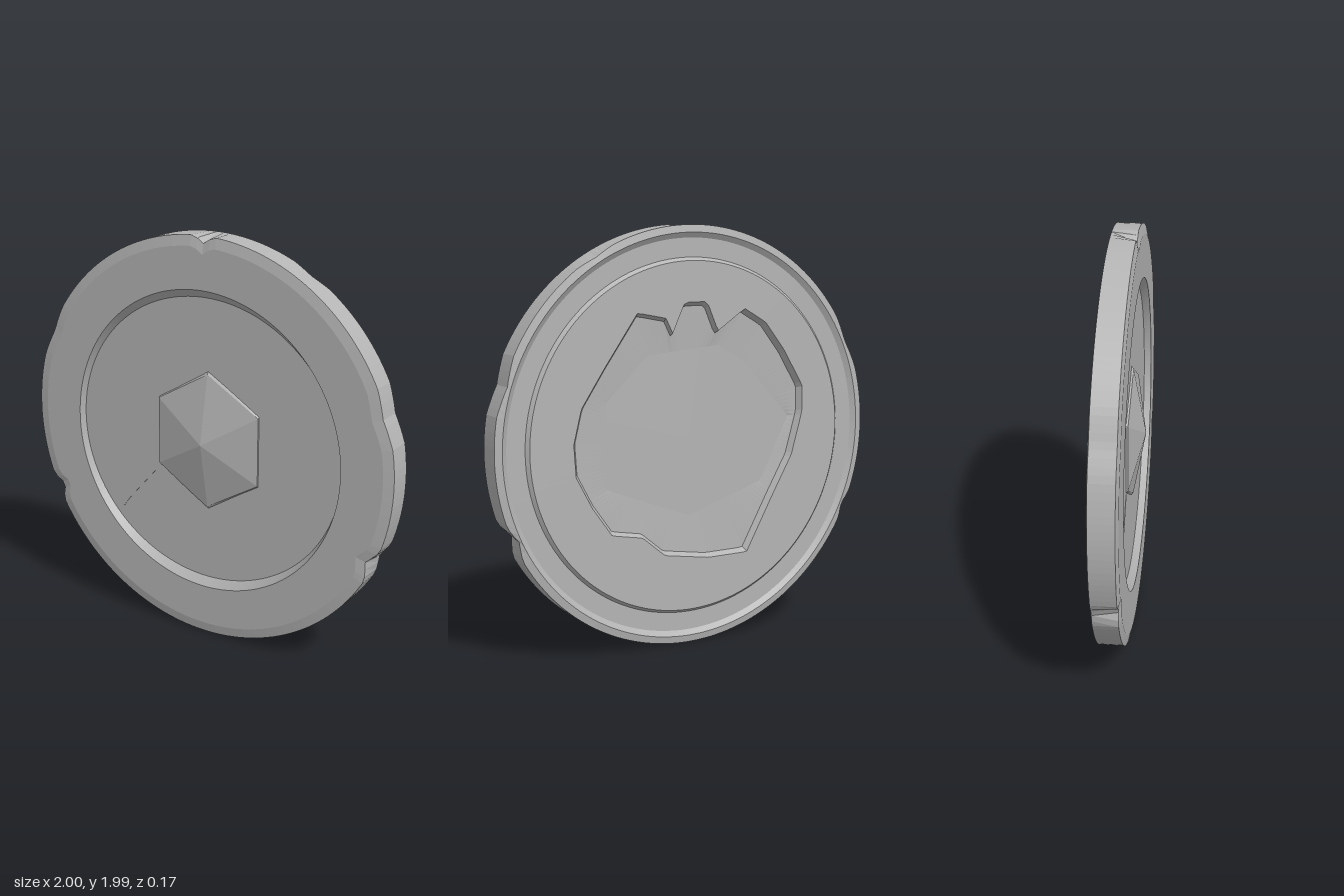
import * as THREE from 'three';

const CY = 0.995;   // height of the disc centre
const N = 180;      // samples around the disc
const RAD = Math.PI / 180;

// Closed outlines on the back, as x,y around the disc centre, by rising angle
const RAGGED = [
  [0.62, 0.02], [0.58, 0.18], [0.46, 0.36], [0.29, 0.6], [0.14, 0.57], [0.12, 0.47], [0.04, 0.64], [-0.08, 0.64],
  [-0.14, 0.5], [-0.29, 0.6], [-0.41, 0.53], [-0.52, 0.39], [-0.63, 0.21], [-0.63, 0.08], [-0.57, -0.13],
  [-0.46, -0.32], [-0.31, -0.59], [-0.09, -0.59], [0.15, -0.55], [0.27, -0.45], [0.43, -0.42], [0.53, -0.28], [0.61, -0.13],
];
const FLOOR = [
  [0.44, 0.19], [0.22, 0.4], [-0.16, 0.43], [-0.3, 0.35], [-0.57, 0.06], [-0.41, -0.25], [0, -0.38], [0.44, -0.21],
];

// Distance from the centre to an outline in direction a
function outlineRadius(points, a) {
  const dx = Math.cos(a), dy = Math.sin(a);
  for (let i = 0; i < points.length; i++) {
    const [px, py] = points[i], [qx, qy] = points[(i + 1) % points.length];
    const ex = qx - px, ey = qy - py;
    const den = dx * ey - dy * ex;
    if (Math.abs(den) < 1e-9) continue;
    const t = (px * ey - py * ex) / den;
    const s = (px * dy - py * dx) / den;
    if (t > 0 && s >= -1e-6 && s <= 1 + 1e-6) return t;
  }
  return 0.5;
}

// Chips in the rim: angle, half width (degrees), depth
const bite = (list) => (a) => {
  let d = 0;
  for (const [deg, w, depth] of list) {
    const off = Math.abs(((a / RAD - deg + 540) % 360) - 180);
    d = Math.max(d, depth * Math.max(0, 1 - off / w));
  }
  return d;
};
const frontChip = bite([[90, 3, 0.035], [205, 4, 0.05], [336, 5, 0.04], [18, 8, 0.02], [155, 8, 0.015]]);
const backChip = bite([[205, 4, 0.02], [336, 5, 0.025], [18, 8, 0.02], [155, 8, 0.015], [60, 6, 0.01]]);

// Skin a stack of loops; each loop maps an angle to [rx, ry, z]
function loft(loops) {
  const pos = [], idx = [];
  for (const loop of loops) {
    for (let i = 0; i < N; i++) {
      const a = (i / N) * Math.PI * 2;
      const [rx, ry, z] = loop(a);
      pos.push(rx * Math.cos(a), ry * Math.sin(a), z);
    }
  }
  for (let k = 0; k < loops.length - 1; k++) {
    for (let i = 0; i < N; i++) {
      const j = (i + 1) % N;
      const a = k * N + i, b = k * N + j, c = a + N, d = b + N;
      idx.push(a, c, b, b, c, d);
    }
  }
  const g = new THREE.BufferGeometry();
  g.setAttribute('position', new THREE.Float32BufferAttribute(pos, 3));
  g.setIndex(idx);
  const flat = g.toNonIndexed();
  flat.computeVertexNormals();
  return flat;
}

const ring = (r, z, chip = () => 0) => (a) => {
  const q = r - chip(a);
  return [q, q * 0.996, z];
};
const outline = (points, scale, z) => (a) => {
  const r = outlineRadius(points, a) * scale;
  return [r, r, z];
};

export function createModel() {
  const model = new THREE.Group();
  const stone = new THREE.MeshStandardMaterial({ color: 0xb4b4b4, flatShading: true });
  stone.name = 'plain grey';

  const add = (name, geometry) => {
    const mesh = new THREE.Mesh(geometry, stone);
    mesh.name = name;
    mesh.position.y = CY;
    model.add(mesh);
    return mesh;
  };

  // Front: sunken floor, sloped wall, flat ring
  add('frontFace', loft([
    () => [0, 0, 0.015],
    () => [0.73, 0.705, 0.015],
    () => [0.74, 0.745, 0.05],
    ring(0.95, 0.05, frontChip),
  ]));

  // Edge: bevels and chipped side
  add('rim', loft([
    ring(0.95, 0.05, frontChip),
    ring(1.0, 0.04, frontChip),
    ring(1.0, -0.078, backChip),
    ring(0.965, -0.085),
  ]));

  // Back: groove, raised ring, ragged hollow
  add('backFace', loft([
    ring(0.965, -0.085),
    ring(0.94, -0.068),
    ring(0.85, -0.068),
    ring(0.835, -0.085),
    outline(RAGGED, 1, -0.085),
    outline(RAGGED, 0.97, -0.056),
    outline(FLOOR, 1, -0.048),
    () => [0, 0, -0.048],
  ]));

  // Hexagonal boss: steep lower edge and a shallow pyramid
  const hex = [[0, 1], [-0.79, 0.51], [-0.79, -0.49], [0, -0.99], [0.79, -0.49], [0.79, 0.51]];
  const corner = (i, grow, z) => [0.01 + hex[i % 6][0] * 0.355, hex[i % 6][1] * 0.355 * grow + 0.005, z];
  const boss = [];
  for (let i = 0; i < 6; i++) {
    const a = corner(i, 0.945, 0.024), b = corner(i + 1, 0.945, 0.024);
    const c = corner(i, 1, 0.01), d = corner(i + 1, 1, 0.01);
    boss.push(...a, ...b, 0.01, 0.005, 0.085, ...c, ...d, ...a, ...d, ...b, ...a);
  }
  const bossGeometry = new THREE.BufferGeometry();
  bossGeometry.setAttribute('position', new THREE.Float32BufferAttribute(boss, 3));
  bossGeometry.computeVertexNormals();
  add('hexagonBoss', bossGeometry);

  // Thin scratch running from the boss to the lower left
  const scratch = new THREE.Shape([
    new THREE.Vector2(-0.27, -0.175), new THREE.Vector2(-0.49, -0.4),
    new THREE.Vector2(-0.56, -0.45), new THREE.Vector2(-0.5, -0.445), new THREE.Vector2(-0.46, -0.39),
  ]);
  add('scratch', new THREE.ExtrudeGeometry(scratch, { depth: 0.003, bevelEnabled: false })).position.z = 0.015;

  return model;
}
